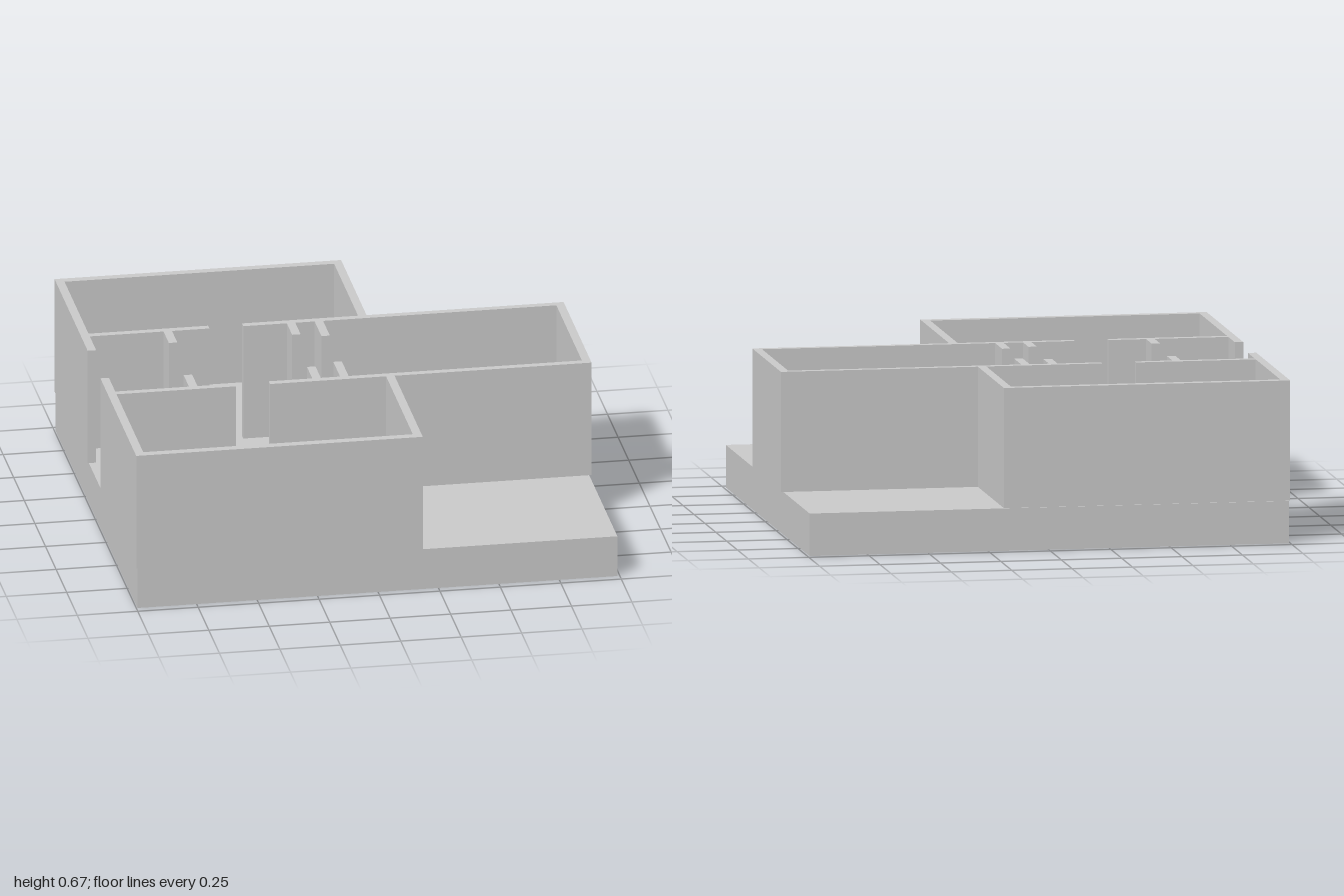
import * as THREE from 'three';

const FLOOR = 0.175, TOP = 0.67, AXIS = -0.03, T = 0.035;

// Outline of the walls on one side of the corridor axis, as [x, distance from the axis].
// It runs from the end wall's outside, around the side room and back to the end wall's inside.
function halfOutline(outer) {
  const stub = (x, d) => [[x, 0.3], [x, d], [x + T, d], [x + T, 0.3]];
  return [
    [1, 0.33], [0.185, 0.33], [0.185, outer], [-1, outer], [-1, 0.15], [-0.965, 0.15], [-0.965, 0.3],
    ...stub(-0.66, 0.175),
    [-0.47, 0.3], [-0.47, 0.33], // doorway, first jamb
    [-0.965, 0.33], [-0.965, outer - T], [0.15, outer - T], [0.15, 0.33],
    [-0.33, 0.33], [-0.33, 0.3], // doorway, second jamb
    ...stub(-0.15, 0.175),
    ...stub(-0.035, 0.14),
    [0.965, 0.3],
  ];
}

export function createModel() {
  const group = new THREE.Group();
  const material = new THREE.MeshStandardMaterial({ color: 0xcccccc, flatShading: true });

  // Base slab
  const slab = new THREE.Mesh(new THREE.BoxGeometry(1.985, FLOOR, 1.93), material);
  slab.name = 'baseSlab';
  slab.position.set(-0.0025, FLOOR / 2, 0);
  group.add(slab);

  // Wall plan: front half, then the mirrored back half in reverse order
  const front = halfOutline(0.995).map(([x, d]) => new THREE.Vector2(x, -(AXIS + d)));
  const back = halfOutline(0.93).map(([x, d]) => new THREE.Vector2(x, -(AXIS - d)));
  const plan = new THREE.Shape([...front, ...back.reverse()]);
  const wallGeometry = new THREE.ExtrudeGeometry(plan, { depth: TOP - FLOOR, bevelEnabled: false });
  wallGeometry.rotateX(-Math.PI / 2);
  const walls = new THREE.Mesh(wallGeometry, material);
  walls.name = 'roomWalls';
  walls.position.y = FLOOR;
  group.add(walls);

  return group;
}
